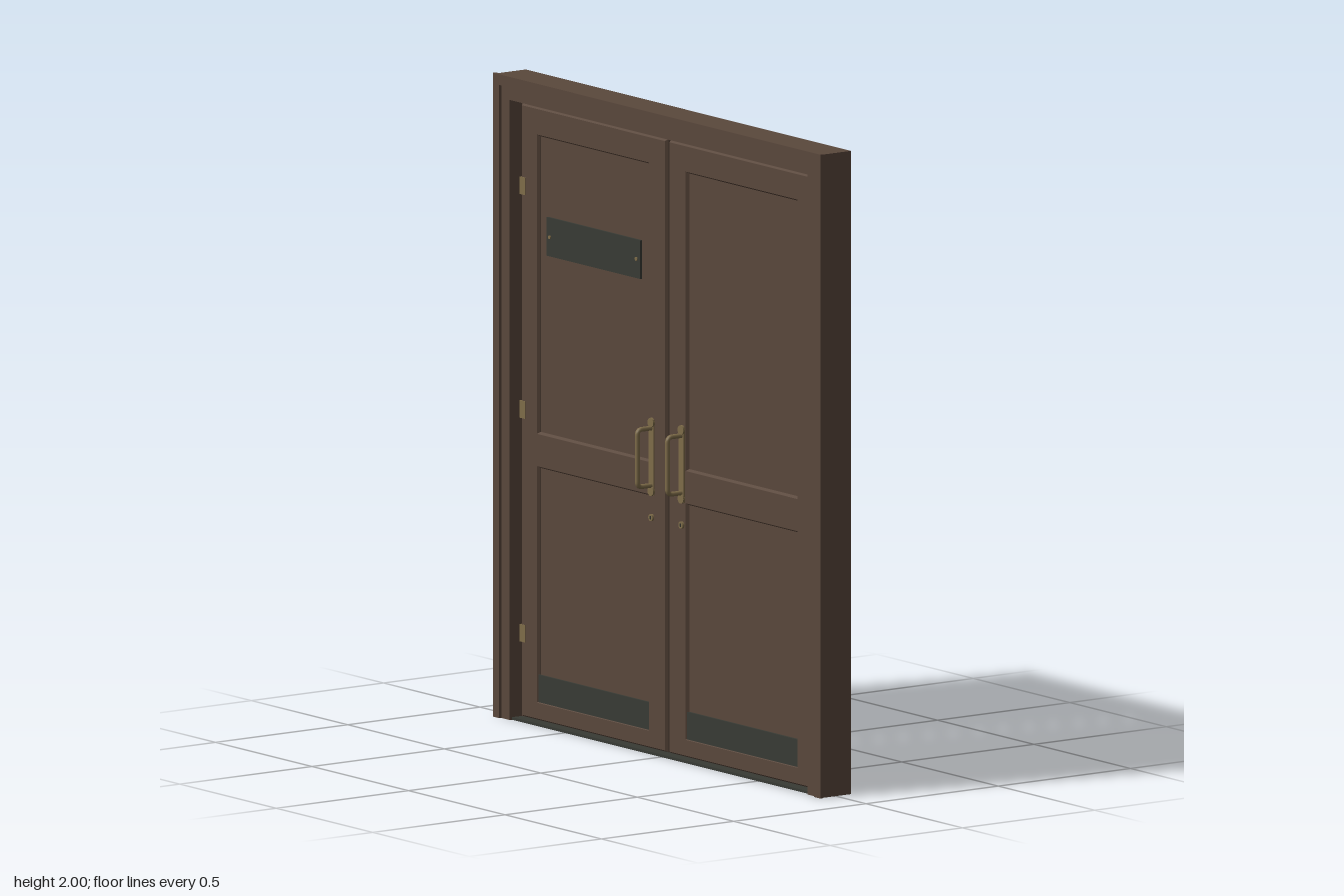
import * as THREE from 'three';

const flat = (name, hex) => {
  const m = new THREE.MeshStandardMaterial({ color: hex });
  m.name = name;
  return m;
};
const wood = flat('brown wood', 0x5a483c);
const iron = flat('dark metal', 0x383a34);
const brass = flat('aged brass', 0x7e6c49);

function add(parent, name, geometry, material) {
  const mesh = new THREE.Mesh(geometry, material);
  mesh.name = name;
  parent.add(mesh);
  return mesh;
}

// Box given by its lower and upper limits on each axis
function block(parent, name, material, [x0, x1], [y0, y1], [z0, z1]) {
  const mesh = add(parent, name, new THREE.BoxGeometry(x1 - x0, y1 - y0, z1 - z0), material);
  mesh.position.set((x0 + x1) / 2, (y0 + y1) / 2, (z0 + z1) / 2);
  return mesh;
}

function rectangle(PathType, x0, x1, y0, y1) {
  return new PathType([[x0, y0], [x1, y0], [x1, y1], [x0, y1]].map(p => new THREE.Vector2(...p)));
}

// U-shaped surround, open at the floor
function surround(parent, name, outer, inner, top, innerTop, z0, z1) {
  const shape = new THREE.Shape([
    [-outer, 0], [-inner, 0], [-inner, innerTop], [inner, innerTop],
    [inner, 0], [outer, 0], [outer, top], [-outer, top],
  ].map(p => new THREE.Vector2(...p)));
  const geometry = new THREE.ExtrudeGeometry(shape, { depth: z1 - z0, bevelEnabled: false });
  add(parent, name, geometry.translate(0, 0, z0), wood);
}

// Pull handle with plate, bar, roses and key plate on one door face (z > 0)
function handleSet(x) {
  const set = new THREE.Group();
  set.name = 'handleSet';
  block(set, 'handlePlate', brass, [x - 0.013, x + 0.013], [0.8, 1.035], [0.021, 0.026]);
  const path = new THREE.CurvePath();
  const v = (y, z) => new THREE.Vector3(x, y, z);
  path.add(new THREE.LineCurve3(v(0.83, 0.02), v(0.83, 0.062)));
  path.add(new THREE.QuadraticBezierCurve3(v(0.83, 0.062), v(0.83, 0.078), v(0.846, 0.078)));
  path.add(new THREE.LineCurve3(v(0.846, 0.078), v(0.992, 0.078)));
  path.add(new THREE.QuadraticBezierCurve3(v(0.992, 0.078), v(1.008, 0.078), v(1.008, 0.062)));
  path.add(new THREE.LineCurve3(v(1.008, 0.062), v(1.008, 0.02)));
  add(set, 'handleBar', new THREE.TubeGeometry(path, 48, 0.0075, 10, false), brass);
  for (const [name, y, r] of [['upperRose', 1.025, 0.015], ['lowerRose', 0.812, 0.015], ['keyPlate', 0.73, 0.011]]) {
    const disc = add(set, name, new THREE.CylinderGeometry(r, r, 0.008, 20), brass);
    disc.rotation.x = Math.PI / 2;
    disc.position.set(x, y, 0.025);
  }
  block(set, 'keyhole', iron, [x - 0.0025, x + 0.0025], [0.725, 0.735], [0.028, 0.03]);
  return set;
}

// One door leaf; side is +1 for the left and -1 for the right
function doorLeaf(side) {
  const leaf = new THREE.Group();
  leaf.name = side > 0 ? 'leftDoor' : 'rightDoor';
  const span = (a, b) => side > 0 ? [a, b] : [-b, -a];

  // Stiles and rails with chamfered openings
  const shape = rectangle(THREE.Shape, ...span(0.006, 0.758), 0.01, 1.915);
  for (const [y0, y1] of [[0.071, 0.794], [0.906, 1.824]]) {
    shape.holes.push(rectangle(THREE.Path, ...span(0.101, 0.669), y0, y1));
  }
  const frame = new THREE.ExtrudeGeometry(shape, {
    depth: 0.024, bevelThickness: 0.01, bevelSize: 0.006, bevelOffset: -0.006, bevelSegments: 1,
  });
  add(leaf, 'stilesAndRails', frame.translate(0, 0, -0.012), wood);

  // Recessed panels and kick plate
  block(leaf, 'upperPanel', wood, span(0.09, 0.68), [0.89, 1.84], [-0.011, 0.011]);
  block(leaf, 'lowerPanel', wood, span(0.09, 0.68), [0.06, 0.81], [-0.011, 0.011]);
  block(leaf, 'kickPlate', iron, span(0.098, 0.672), [0.066, 0.152], [0.011, 0.019]);

  // Hinges
  for (const y of [0.27, 0.965, 1.66]) {
    block(leaf, 'hinge', brass, span(0.733, 0.76), [y - 0.027, y + 0.027], [0.015, 0.025]);
  }

  // Handles on both faces
  leaf.add(handleSet(side * 0.078));
  const back = handleSet(-side * 0.078);
  back.rotation.y = Math.PI;
  leaf.add(back);
  return leaf;
}

export function createModel() {
  const model = new THREE.Group();
  model.name = 'doubleDoor';

  // Door frame, raised outer trim, stops and threshold
  const frame = new THREE.Group();
  frame.name = 'doorFrame';
  surround(frame, 'jambs', 0.843, 0.772, 1.998, 1.926, -0.058, 0.054);
  surround(frame, 'outerTrim', 0.848, 0.816, 2, 1.967, 0.05, 0.062);
  for (const s of [-1, 1]) {
    const x = s > 0 ? [0.757, 0.774] : [-0.774, -0.757];
    block(frame, 'doorStop', wood, x, [0, 1.912], [-0.03, 0.008]);
  }
  block(frame, 'threshold', iron, [-0.772, 0.772], [0, 0.008], [-0.045, 0.045]);
  model.add(frame);

  model.add(doorLeaf(1), doorLeaf(-1));

  // Blank sign plate with screws on the right door
  const sign = new THREE.Group();
  sign.name = 'signPlate';
  block(sign, 'plate', iron, [-0.63, -0.145], [1.46, 1.58], [0.01, 0.019]);
  for (const x of [-0.612, -0.163]) {
    const screw = add(sign, 'screw', new THREE.CylinderGeometry(0.006, 0.006, 0.004, 12), brass);
    screw.rotation.x = Math.PI / 2;
    screw.position.set(x, 1.52, 0.02);
  }
  model.add(sign);
  return model;
}
